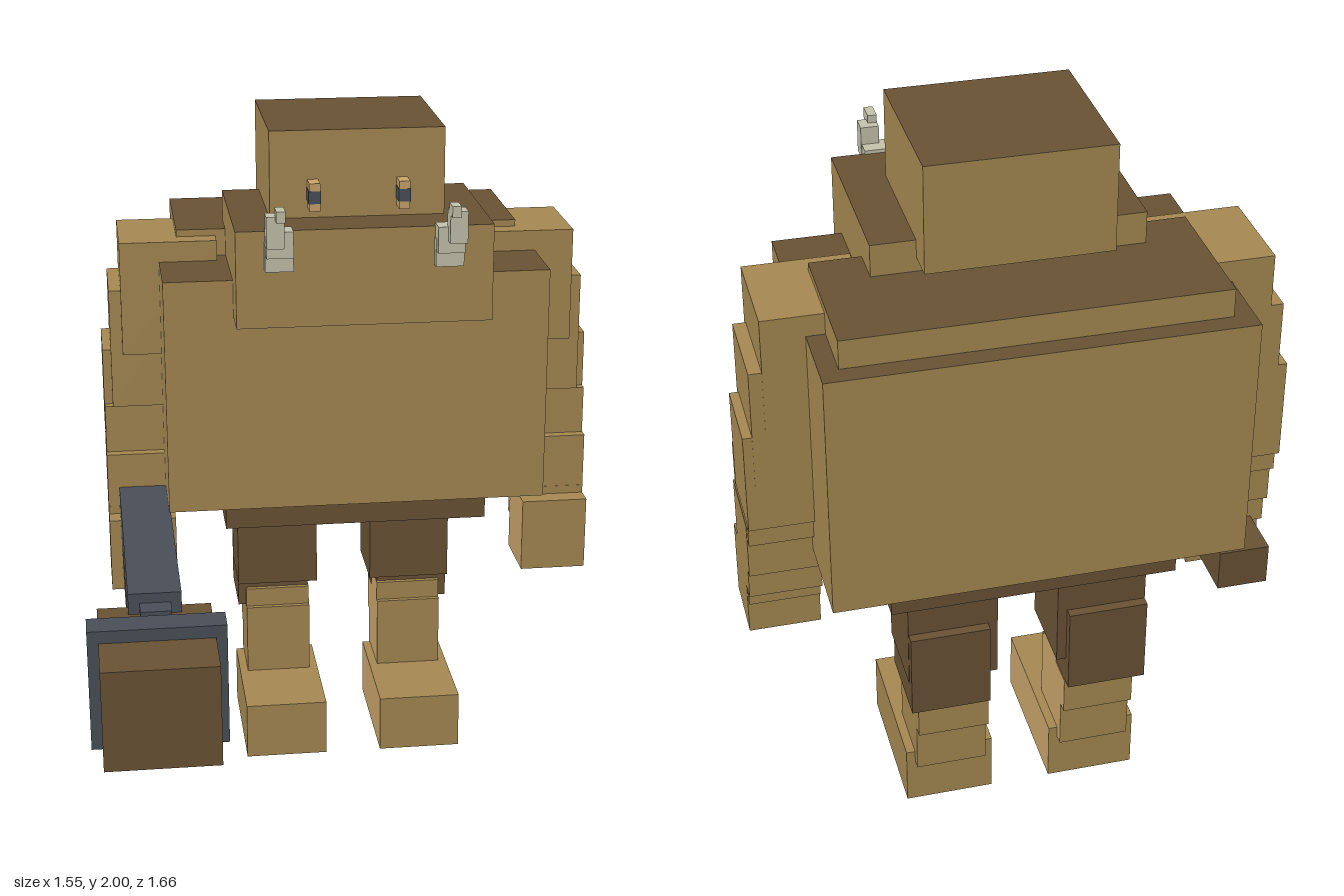
import * as THREE from 'three';

export function createModel() {
  const root = new THREE.Group();
  root.name = 'hammerBrute';

  const material = (name, color) => {
    const m = new THREE.MeshStandardMaterial({ color });
    m.name = name;
    return m;
  };
  const tan = material('tan hide', 0xa88a53);
  const lightTan = material('light tan hide', 0xcaa66c);
  const brown = material('brown', 0x6b5335);
  const slate = material('slate iron', 0x4a4f59);
  const bone = material('bone', 0xc6c5ae);

  // Axis-aligned block given by its limits on each axis
  const block = (parent, name, [x0, x1], [y0, y1], [z0, z1], mat) => {
    const mesh = new THREE.Mesh(new THREE.BoxGeometry(x1 - x0, y1 - y0, z1 - z0), mat);
    mesh.name = name;
    mesh.position.set((x0 + x1) / 2, (y0 + y1) / 2, (z0 + z1) / 2);
    parent.add(mesh);
    return mesh;
  };
  const group = (name) => {
    const g = new THREE.Group();
    g.name = name;
    root.add(g);
    return g;
  };

  // Tan flanks with a brown top and underside
  const furred = [tan, tan, brown, brown, tan, tan];

  // Head and trunk
  block(root, 'head', [-0.21, 0.29], [1.7, 2], [-0.58, -0.125], furred);
  block(root, 'jaw', [-0.32, 0.41], [1.47, 1.75], [-0.49, 0.015], furred);
  block(root, 'torso', [-0.52, 0.6], [0.88, 1.58], [-0.83, -0.1], furred);
  block(root, 'upperBack', [-0.465, 0.55], [1.5, 1.66], [-0.775, -0.38], furred);
  block(root, 'hips', [-0.35, 0.435], [0.795, 0.89], [-0.77, -0.16], brown);

  // Paired parts are laid out on the left and mirrored about the body's middle
  const middle = 0.04;
  for (const side of ['left', 'right']) {
    const isLeft = side === 'left';
    const span = ([a, b]) => (isLeft ? [a, b] : [2 * middle - b, 2 * middle - a]);
    const add = (g, name, x, y, z, mat) => block(g, name, span(x), y, z, mat);
    // Tan limb with a lighter inner face
    const limb = isLeft
      ? [tan, lightTan, tan, tan, tan, tan]
      : [lightTan, tan, tan, tan, tan, tan];

    // Arm, stepping outward and forward down to the hand
    const arm = group(side + 'Arm');
    add(arm, 'shoulder', [0.43, 0.715], [1.3, 1.64], [-0.605, -0.322], tan);
    add(arm, 'upperArm', [0.5, 0.75], [1.13, 1.49], [-0.604, -0.35], tan);
    add(arm, 'elbow', [0.55, 0.775], [1.01, 1.3], [-0.603, -0.38], tan);
    add(arm, 'forearmTop', [0.56, 0.774], [0.94, 1.13], [-0.575, -0.355], limb);
    add(arm, 'forearmMiddle', [0.575, 0.775], [0.82, 0.985], [-0.547, -0.325], limb);
    add(arm, 'forearmLow', [0.575, 0.775], [0.73, 0.82], [-0.52, -0.324], limb);
    add(arm, 'wrist', [0.576, 0.774], [0.68, 0.79], [-0.49, -0.3], limb);
    add(arm, 'hand', [0.575, 0.775], [0.57, 0.795], [-0.465, -0.265], limb);

    // Leg
    const leg = group(side + 'Leg');
    add(leg, 'thigh', [0.125, 0.375], [0.48, 0.8], [-0.69, -0.46], brown);
    add(leg, 'lowerThigh', [0.152, 0.374], [0.397, 0.65], [-0.718, -0.49], brown);
    add(leg, 'knee', [0.15, 0.35], [0.38, 0.455], [-0.6, -0.475], limb);
    add(leg, 'shin', [0.15, 0.35], [0.285, 0.396], [-0.688, -0.46], limb);
    add(leg, 'ankle', [0.15, 0.35], [0.14, 0.29], [-0.658, -0.46], limb);
    add(leg, 'foot', [0.125, 0.375], [0, 0.175], [-0.63, -0.205], limb);

    // Protruding eye with a dark band
    const eye = group(side + 'Eye');
    add(eye, 'lowerLid', [0.152, 0.183], [1.78, 1.802], [-0.13, -0.07], lightTan);
    add(eye, 'pupil', [0.15, 0.185], [1.802, 1.838], [-0.13, -0.068], slate);
    add(eye, 'upperLid', [0.152, 0.183], [1.838, 1.86], [-0.13, -0.07], lightTan);

    // Tusk curling up and forward
    const tusk = group(side + 'Tusk');
    add(tusk, 'tuskRoot', [0.24, 0.32], [1.64, 1.72], [0.01, 0.045], bone);
    add(tusk, 'tuskLower', [0.242, 0.318], [1.685, 1.76], [0.01, 0.07], bone);
    add(tusk, 'tuskUpper', [0.27, 0.32], [1.72, 1.81], [0.05, 0.1], bone);
    add(tusk, 'tuskTip', [0.27, 0.295], [1.8, 1.832], [0.075, 0.13], bone);
  }

  // Hammer held in the right hand
  const hammer = group('hammer');
  block(hammer, 'handle', [-0.66, -0.517], [0.625, 0.745], [-0.67, 0.44], brown);
  block(hammer, 'gripCollar', [-0.65, -0.53], [0.6, 0.7], [-0.4, -0.24], brown);
  block(hammer, 'handlePlate', [-0.661, -0.516], [0.74, 0.88], [-0.33, 0.48], slate);
  block(hammer, 'plateTip', [-0.63, -0.545], [0.78, 0.852], [0.45, 0.54], slate);
  block(hammer, 'hammerHead', [-0.745, -0.435], [0.535, 0.82], [0.43, 0.83], brown);
  block(hammer, 'hammerBand', [-0.775, -0.405], [0.51, 0.855], [0.57, 0.655], slate);

  return root;
}
